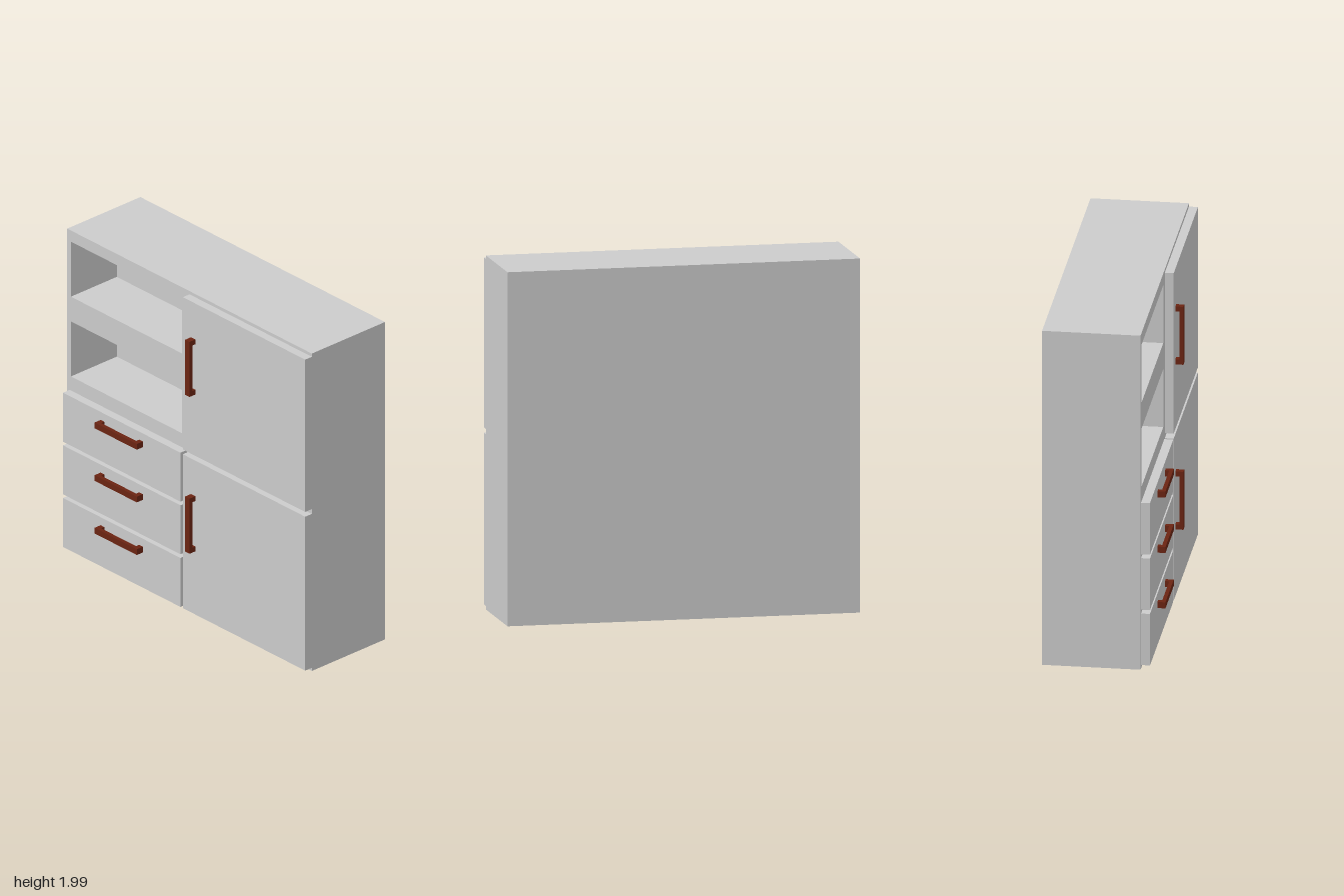
import * as THREE from 'three';

const grey = new THREE.MeshStandardMaterial({ color: 0xcccccc, flatShading: true });
const brown = new THREE.MeshStandardMaterial({ color: 0x6b2412, flatShading: true });

const BACK = 0.32, FACE = -0.23, PANEL = -0.28, GRIP = -0.325;
const HEIGHT = 1.99, NICHE_BACK = 0.115;

// Box given by its extents along each axis
function block(name, [x0, x1], [y0, y1], [z0, z1], material = grey) {
  const mesh = new THREE.Mesh(new THREE.BoxGeometry(x1 - x0, y1 - y0, z1 - z0), material);
  mesh.position.set((x0 + x1) / 2, (y0 + y1) / 2, (z0 + z1) / 2);
  mesh.name = name;
  return mesh;
}

// Rectangle outline in the cabinet's face plane (u = -z, v = y)
function rectangle(PathType, z0, z1, y0, y1) {
  return new PathType([[-z1, y0], [-z0, y0], [-z0, y1], [-z1, y1]]
    .map(([u, v]) => new THREE.Vector2(u, v)));
}

// Bar handle on two posts, lying along z or turned upright
function handle(name, y, z, upright) {
  const group = new THREE.Group();
  const half = 0.1725, w = 0.018, post = 0.03;
  group.add(block('handleBar', [GRIP, GRIP + 0.022], [-w, w], [-half, half], brown));
  for (const s of [-1, 1]) {
    const a = s * half, b = s * (half - post);
    group.add(block('handlePost', [GRIP + 0.022, PANEL], [-w, w], [Math.min(a, b), Math.max(a, b)], brown));
  }
  if (upright) group.rotation.x = Math.PI / 2;
  group.position.set(0, y, z);
  group.name = name;
  return group;
}

export function createModel() {
  const model = new THREE.Group();
  model.name = 'cabinet';

  // Carcass: front part pierced by two open niches, solid part behind
  const outline = rectangle(THREE.Shape, -1, 1, 0, HEIGHT);
  for (const y of [1.075, 1.575]) {
    outline.holes.push(rectangle(THREE.Path, -0.97, -0.06, y, y + 0.345));
  }
  const front = new THREE.Mesh(
    new THREE.ExtrudeGeometry(outline, { depth: NICHE_BACK - FACE, bevelEnabled: false }), grey);
  front.rotation.y = Math.PI / 2;
  front.position.x = FACE;
  front.name = 'carcassWithNiches';
  model.add(front, block('carcassBack', [NICHE_BACK, BACK], [0, HEIGHT], [-1, 1]));

  // Two doors with upright handles
  model.add(
    block('lowerDoor', [PANEL, FACE], [0.02, 0.985], [0, 1]),
    block('upperDoor', [PANEL, FACE], [1.015, 1.97], [0, 1]),
    handle('lowerDoorHandle', 0.59, 0.085, true),
    handle('upperDoorHandle', 1.573, 0.085, true));

  // Three drawers with level handles
  for (let i = 0; i < 3; i++) {
    const y = 0.02 + i * 0.33;
    model.add(
      block('drawerFront', [PANEL, FACE], [y, y + 0.307], [-0.98, -0.02]),
      handle('drawerHandle', y + 0.239, -0.5, false));
  }
  return model;
}
